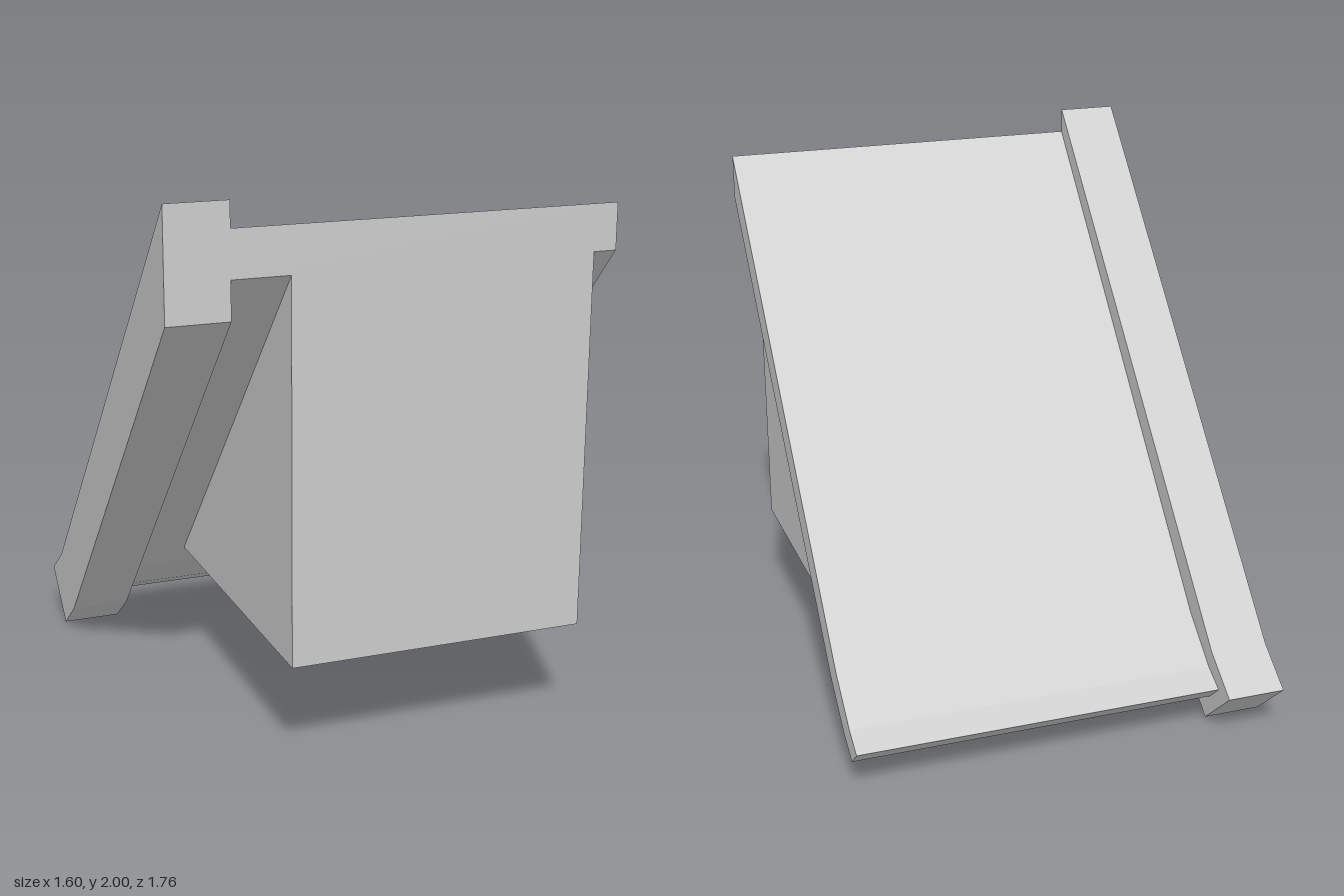
import * as THREE from 'three';

// Extrudes a side profile, given as [z, y] points, across the model from x0 to x1
function crossPiece(name, profile, x0, x1, material) {
  const shape = new THREE.Shape(profile.map(([z, y]) => new THREE.Vector2(z, y)));
  const geometry = new THREE.ExtrudeGeometry(shape, { depth: x1 - x0, bevelEnabled: false });
  geometry.rotateY(-Math.PI / 2);
  geometry.translate(x1, 0, 0);
  const mesh = new THREE.Mesh(geometry, material);
  mesh.name = name;
  return mesh;
}

export function createModel() {
  const group = new THREE.Group();
  group.name = 'dormerRoof';
  const material = new THREE.MeshStandardMaterial({ color: 0xcccccc, flatShading: true });

  // Thick verge beam along the right edge, kicked out at the eave
  group.add(crossPiece('vergeBeam', [
    [0.88, 2], [0.88, 1.61], [-0.53, 0.12], [-0.69, 0], [-0.88, 0.175], [-0.72, 0.29],
  ], -0.8, -0.58, material));

  // Thin sloping roof slab with a gently flared eave
  group.add(crossPiece('roofSlab', [
    [0.88, 1.91], [0.88, 1.745], [-0.45, 0.3], [-0.62, 0.16], [-0.72, 0.105],
    [-0.79, 0.17], [-0.7, 0.22], [-0.53, 0.36],
  ], -0.58, 0.8, material));

  // Triangular wall block beneath the slab
  group.add(crossPiece('wallBlock', [
    [0.88, 1.745], [0.88, 0.385], [-0.372, 0.385],
  ], -0.377, 0.716, material));

  return group;
}
